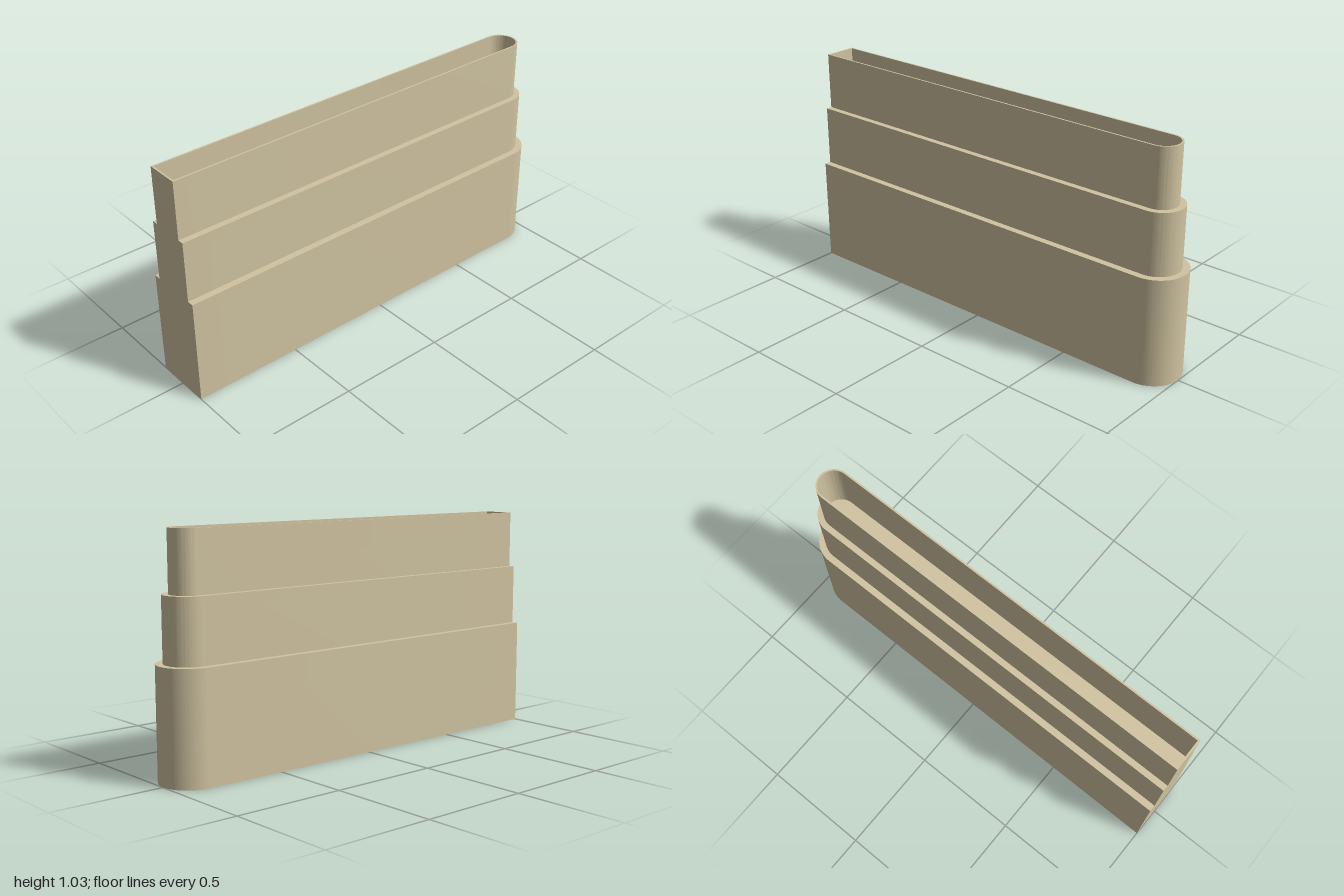
import * as THREE from 'three';
import { toCreasedNormals } from 'three/addons/utils/BufferGeometryUtils.js';

const BACK = -1;        // flat end
const ARC_X = 0.862;    // common centre of the rounded ends
const WALL = 0.008;     // thickness of the top rim

// Plan outline: square at one end, half round at the other
function outline(PathType, r, back) {
  const p = new PathType();
  p.moveTo(back, -r);
  p.lineTo(ARC_X, -r);
  p.absarc(ARC_X, 0, r, -Math.PI / 2, Math.PI / 2, false);
  p.lineTo(back, r);
  p.closePath();
  return p;
}

function tier(name, r, y0, y1, material, hollow) {
  const shape = outline(THREE.Shape, r, BACK);
  if (hollow) shape.holes.push(outline(THREE.Path, r - WALL, BACK + WALL));
  let geo = new THREE.ExtrudeGeometry(shape, { depth: y1 - y0, bevelEnabled: false, curveSegments: 32 });
  geo.rotateX(-Math.PI / 2);
  geo.translate(0, y0, 0);
  geo = toCreasedNormals(geo, Math.PI / 6);
  const mesh = new THREE.Mesh(geo, material);
  mesh.name = name;
  return mesh;
}

export function createModel() {
  const group = new THREE.Group();
  group.name = 'steppedTower';
  const stone = new THREE.MeshStandardMaterial({ color: 0xd0c3a0 });
  stone.name = 'sandstone';

  // Three stacked tiers, the top one an open parapet
  group.add(tier('lowerTier', 0.136, 0, 0.49, stone, false));
  group.add(tier('middleTier', 0.105, 0.49, 0.77, stone, false));
  group.add(tier('upperTier', 0.077, 0.77, 1.035, stone, true));
  return group;
}
